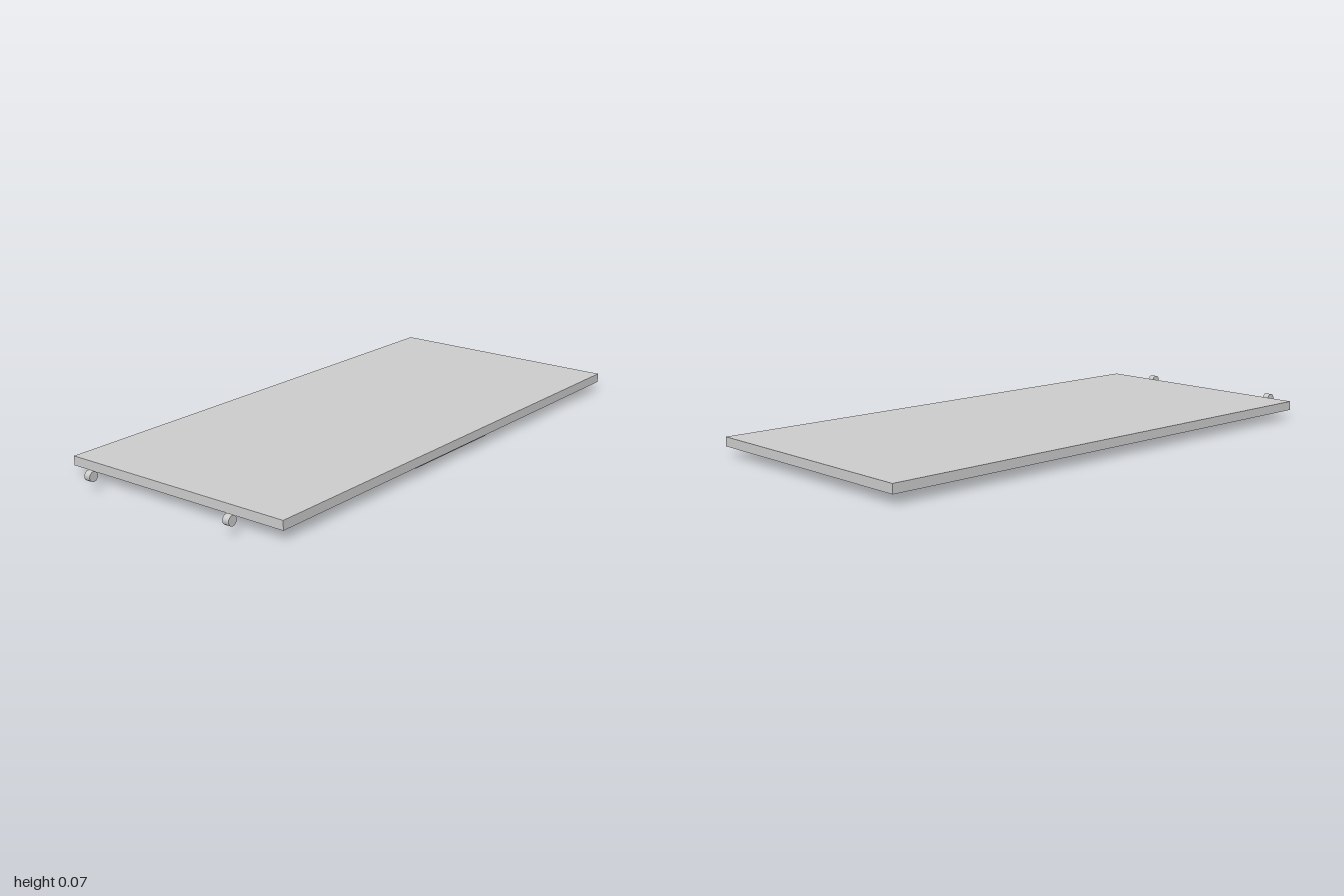
import * as THREE from 'three';

export function createModel() {
  const group = new THREE.Group();
  const material = new THREE.MeshStandardMaterial({ color: 0xcccccc });
  const midZ = -0.0415; // centre of the door leaf along its length

  const add = (name, geometry, x, y, z) => {
    const mesh = new THREE.Mesh(geometry, material);
    mesh.name = name;
    mesh.position.set(x, y, z);
    group.add(mesh);
    return mesh;
  };

  // Door leaf lying flat, with a shallow raised panel on its underside
  add('doorLeaf', new THREE.BoxGeometry(0.91, 0.033, 1.917), 0, 0.0505, midZ);
  add('raisedPanel', new THREE.BoxGeometry(0.65, 0.008, 1.655), 0, 0.031, midZ);

  // Round bar handle below the left edge, running lengthwise
  const handle = new THREE.CylinderGeometry(0.0098, 0.0098, 0.427, 16).rotateX(Math.PI / 2);
  add('barHandle', handle, 0.403, 0.0098, -0.038);

  // Pair of rollers beyond the front end, axles across the door
  const roller = new THREE.CylinderGeometry(0.018, 0.018, 0.025, 16).rotateZ(Math.PI / 2);
  add('leftRoller', roller, 0.301, 0.0512, 0.982);
  add('rightRoller', roller, -0.301, 0.0512, 0.982);

  return group;
}
